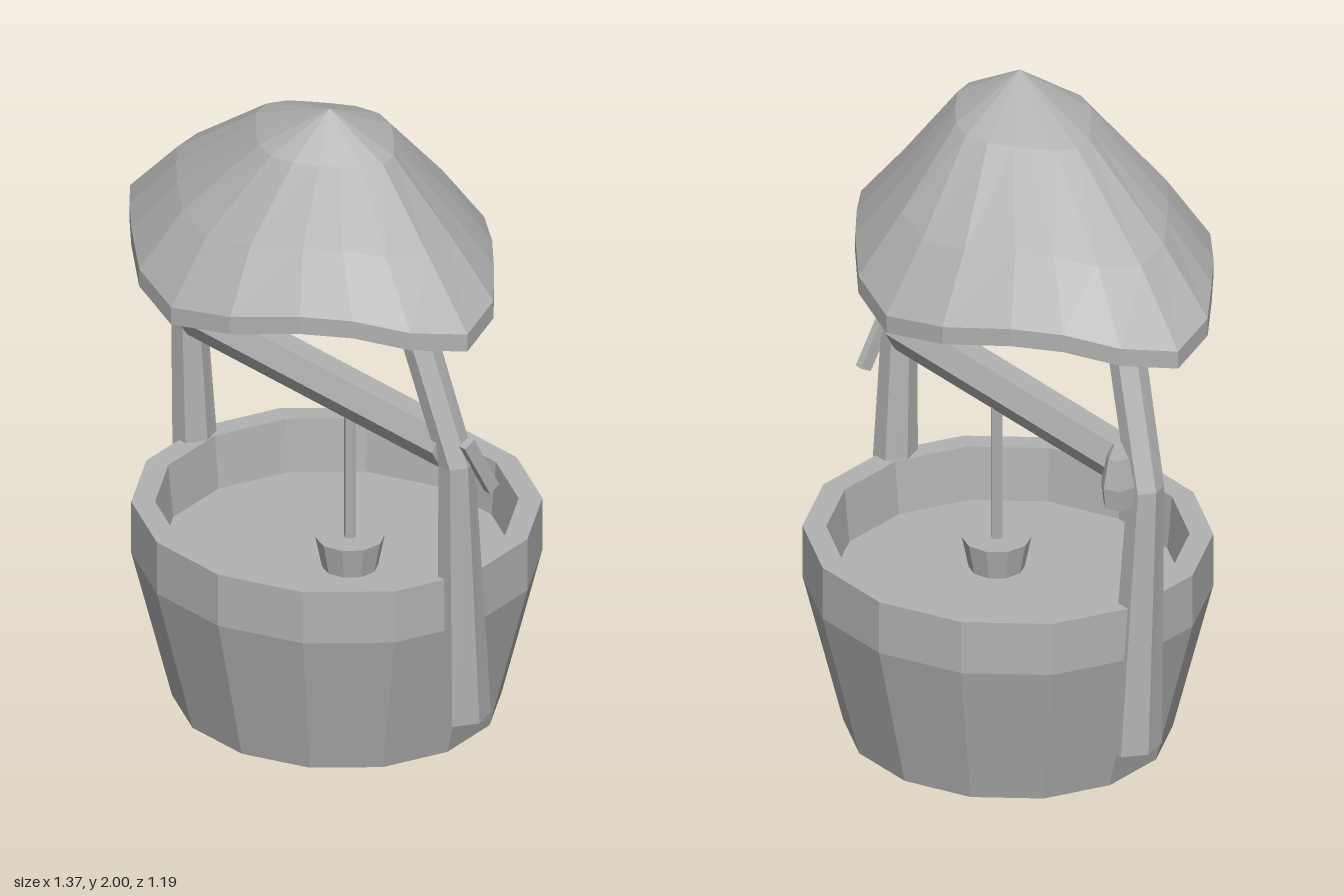
import * as THREE from 'three';

const stone = new THREE.MeshStandardMaterial({ color: 0xb2b2b2, flatShading: true, side: THREE.DoubleSide });
stone.name = 'plain grey';

const V = (x, y, z) => new THREE.Vector3(x, y, z);

// Skin over rings listed bottom to top, each running from +z towards +x, closed by a fan at each end
function loft(rings, bottom, top) {
  const n = rings[0].length;
  const points = [...rings.flat(), bottom, top];
  const iBottom = points.length - 2, iTop = points.length - 1;
  const index = [];
  for (let j = 0; j < n; j++) {
    const k = (j + 1) % n;
    for (let i = 0; i < rings.length - 1; i++) {
      const a = i * n, b = a + n;
      index.push(a + j, a + k, b + k, a + j, b + k, b + j);
    }
    const last = (rings.length - 1) * n;
    index.push(iBottom, k, j, iTop, last + j, last + k);
  }
  const g = new THREE.BufferGeometry().setFromPoints(points);
  g.setIndex(index);
  g.computeVertexNormals();
  return g;
}

function ring(n, cx, y, cz, rx, rz) {
  return Array.from({ length: n }, (_, i) => {
    const a = ((i + 0.5) / n) * Math.PI * 2;
    return V(cx + rx * Math.sin(a), y, cz + rz * Math.cos(a));
  });
}

function lathe(profile, sides, phase = 0) {
  return new THREE.LatheGeometry(profile.map(([x, y]) => new THREE.Vector2(x, y)), sides, phase);
}

export function createModel() {
  const group = new THREE.Group();
  const add = (name, geometry, x = 0, y = 0, z = 0) => {
    const m = new THREE.Mesh(geometry, stone);
    m.name = name;
    m.position.set(x, y, z);
    group.add(m);
    return m;
  };

  // Tapered basin, open underneath, with a thick rim and a raised floor
  const basin = add('basin', lathe([
    [0.485, 0], [0.605, 0.46], [0.605, 0.625], [0.535, 0.625], [0.52, 0.46], [0, 0.46],
  ], 14, Math.PI / 14), 0, 0, -0.03);
  basin.scale.z = 0.96;

  // Bent six-sided posts
  for (const s of [1, -1]) {
    const rings = [
      ring(6, s * 0.578, 0.16, -0.013, 0.068, 0.085),
      ring(6, s * 0.587, 0.99, 0.022, 0.049, 0.055),
      ring(6, s * 0.42, 1.46, 0.062, 0.047, 0.058),
    ];
    add(s > 0 ? 'leftPost' : 'rightPost',
      loft(rings, V(s * 0.578, 0.16, -0.013), V(s * 0.42, 1.46, 0.062)));
  }

  // Crossbeam with rope and bucket
  const beam = add('crossbeam', new THREE.CylinderGeometry(0.07, 0.07, 1.12, 6), 0, 1.033, 0.022);
  beam.rotation.z = Math.PI / 2;
  add('rope', new THREE.CylinderGeometry(0.018, 0.018, 0.5, 6), 0.093, 0.76, 0);
  add('bucket', new THREE.CylinderGeometry(0.1, 0.08, 0.1, 10), 0.093, 0.505, 0);

  // Crank bar on one post, lantern-shaped knob behind the other
  const crank = add('crank', new THREE.BoxGeometry(0.025, 0.2, 0.04), 0.635, 0.985, -0.022);
  crank.rotation.x = 0.5;
  add('knob', lathe([[0, 0.965], [0.045, 0.965], [0.052, 1.03], [0.034, 1.12], [0.014, 1.16], [0, 1.16]], 6),
    -0.585, 0, -0.077);

  // Roof outline: one quarter as x, z and lift, mirrored round
  const quarter = [[0, 0.533, 0], [0.2, 0.482, 0.03], [0.37, 0.365, 0.057], [0.49, 0.268, 0.057], [0.617, 0.157, 0.03]];
  const outline = [
    ...quarter,
    [0.684, 0, 0],
    ...quarter.slice(1).reverse().map(([x, z, h]) => [x, -z, h]),
  ];
  outline.push(...outline.map(([x, z, h]) => [-x, -z, h]));
  const roofRing = (cx, cz, sx, sz, y, lift) =>
    outline.map(([x, z, h]) => V(cx + x * sx, y + h * lift, cz + z * sz));

  // Wavy-brimmed roof with its peak off centre
  add('roof', loft([
    roofRing(0, 0.065, 1, 1, 1.4, 1),
    roofRing(0, 0.065, 1, 1, 1.455, 1),
    roofRing(0.015, 0.075, 0.745, 0.755, 1.65, 0.5),
    roofRing(0.098, 0.1, 0.376, 0.385, 1.885, 0),
  ], V(0, 1.42, 0.065), V(0.155, 2, 0.13)));

  return group;
}
